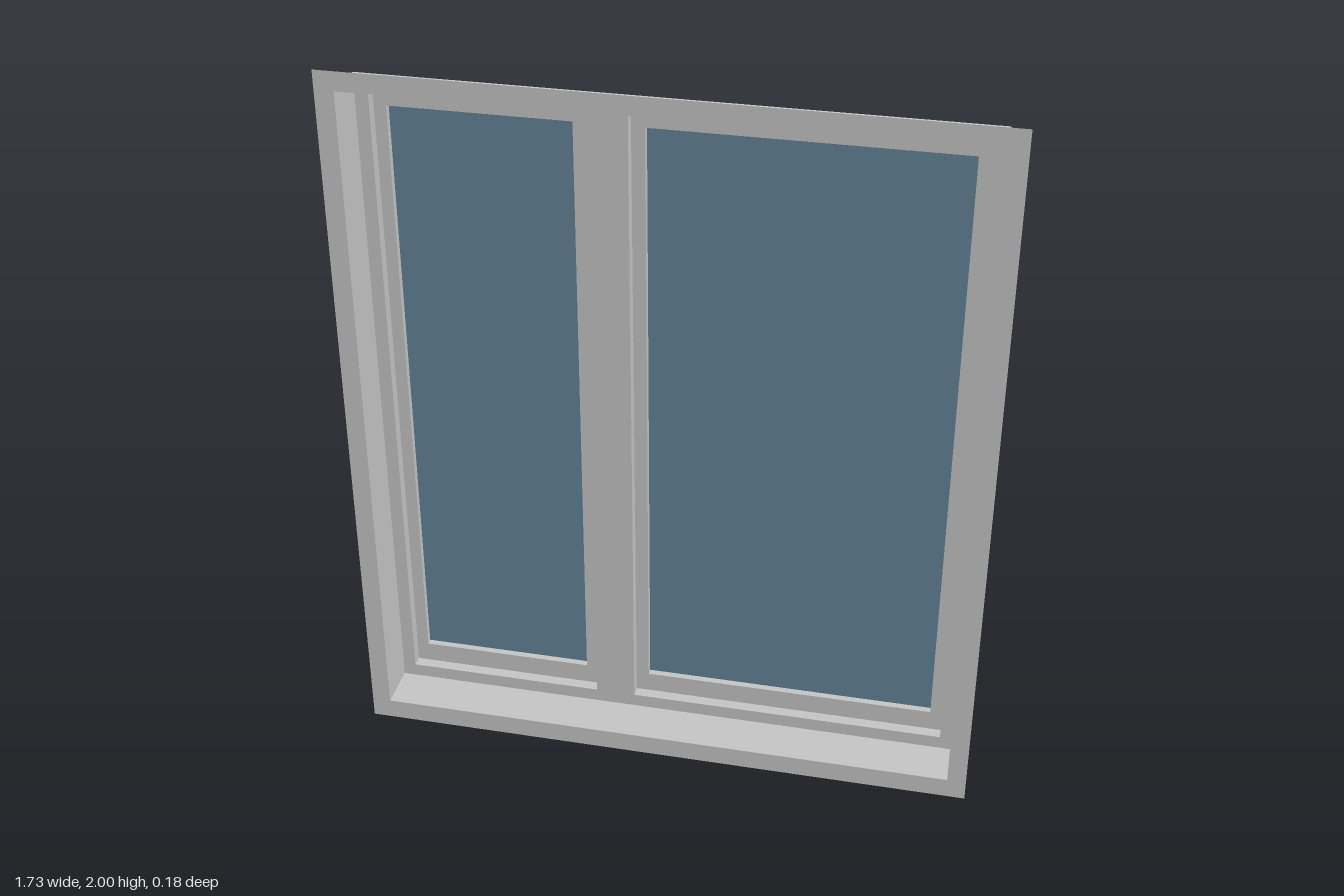
import * as THREE from 'three';

const frameGrey = new THREE.MeshStandardMaterial({ color: 0xc8c8c8, side: THREE.DoubleSide });
frameGrey.name = 'frame grey';
const glassBlue = new THREE.MeshStandardMaterial({ color: 0x658699, side: THREE.DoubleSide });
glassBlue.name = 'glass blue';

// Rectangles are [left, bottom, right, top]; corners run counter-clockwise
const corners = ([l, b, r, t]) => [[l, b], [r, b], [r, t], [l, t]];
const toPoints = (rect) => corners(rect).map(([x, y]) => new THREE.Vector2(x, y));

// Flat sheet facing the front, with rectangular openings
function sheet(name, rect, holes, z, material) {
  const shape = new THREE.Shape(toPoints(rect));
  holes.forEach((hole) => shape.holes.push(new THREE.Path(toPoints(hole).reverse())));
  const mesh = new THREE.Mesh(new THREE.ShapeGeometry(shape), material);
  mesh.position.z = z;
  mesh.name = name;
  return mesh;
}

// Four thin walls running round a rectangle from zFront to zBack
function walls(name, rect, zFront, zBack) {
  const c = corners(rect);
  const positions = [];
  for (let i = 0; i < 4; i++) {
    const [ax, ay] = c[i];
    const [bx, by] = c[(i + 1) % 4];
    positions.push(
      ax, ay, zBack, bx, by, zBack, bx, by, zFront,
      ax, ay, zBack, bx, by, zFront, ax, ay, zFront
    );
  }
  const geometry = new THREE.BufferGeometry();
  geometry.setAttribute('position', new THREE.Float32BufferAttribute(positions, 3));
  geometry.computeVertexNormals();
  const mesh = new THREE.Mesh(geometry, frameGrey);
  mesh.name = name;
  return mesh;
}

export function createModel() {
  const group = new THREE.Group();
  group.name = 'window';

  // Depths, from the front flange back to the glass
  const zFlange = 0.092, zFrame = -0.041, zSash = -0.073, zGlass = -0.092;
  const outer = [-0.865, 0, 0.865, 2];
  const reveal = [-0.813, 0.058, 0.813, 1.948];
  const casements = [
    { name: 'narrow', sash: [-0.777, 0.096, -0.222, 1.91], glass: [-0.744, 0.155, -0.259, 1.852] },
    { name: 'wide', sash: [-0.11, 0.096, 0.777, 1.91], glass: [-0.074, 0.155, 0.742, 1.852] },
  ];

  // Surround: flange, deep reveal and frame with its mullion
  group.add(
    sheet('flange', outer, [reveal], zFlange, frameGrey),
    walls('reveal', reveal, zFlange, zFrame),
    sheet('frameAndMullion', reveal, casements.map((c) => c.sash), zFrame, frameGrey)
  );

  // Each casement steps back twice to its pane
  for (const { name, sash, glass } of casements) {
    const casement = new THREE.Group();
    casement.name = name + 'Casement';
    casement.add(
      walls('sashEdge', sash, zFrame, zSash),
      sheet('sash', sash, [glass], zSash, frameGrey),
      walls('glazingBead', glass, zSash, zGlass),
      sheet('glassPane', glass, [], zGlass, glassBlue)
    );
    group.add(casement);
  }
  return group;
}
